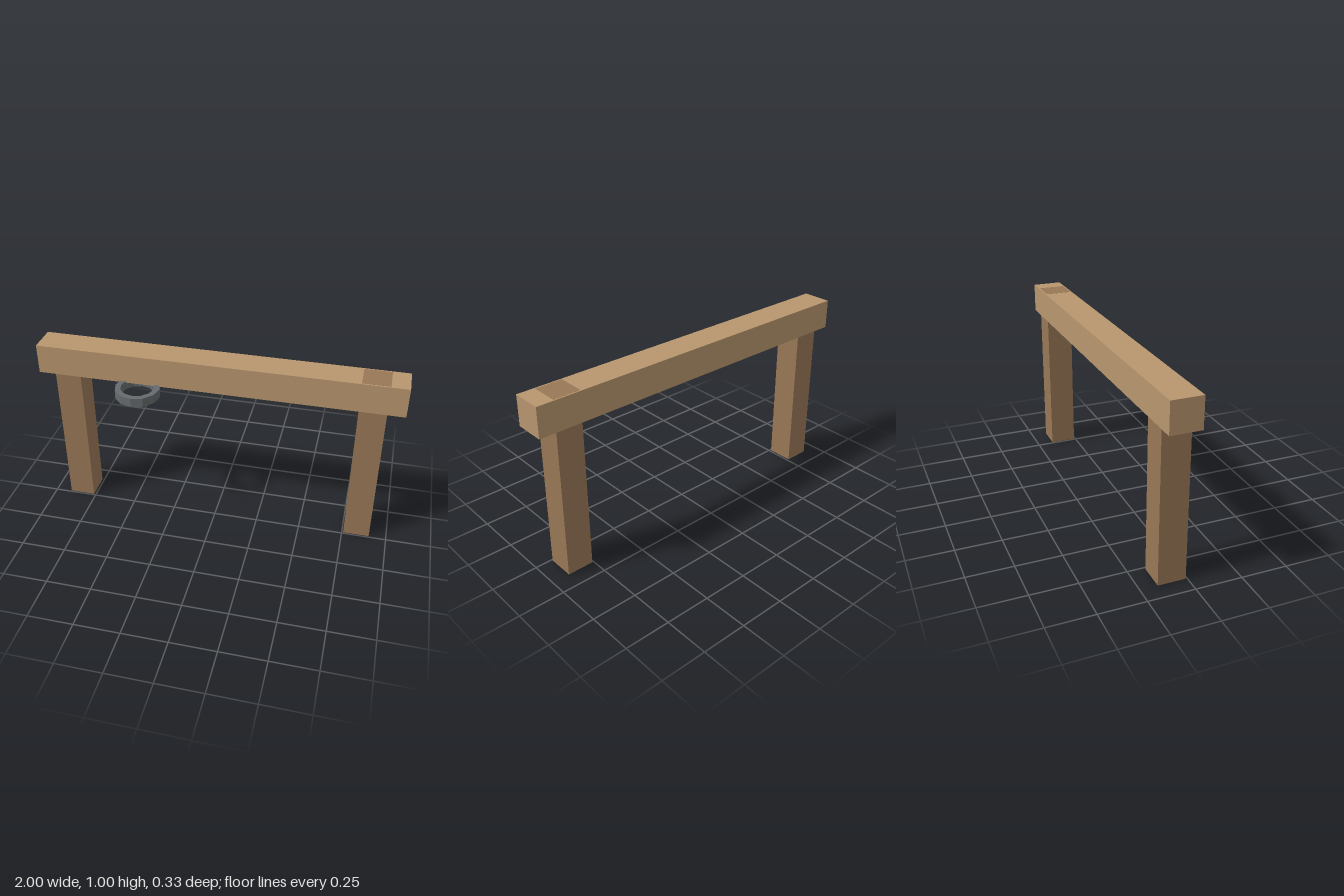
import * as THREE from 'three';

export function createModel() {
  const group = new THREE.Group();
  const material = (color) => new THREE.MeshStandardMaterial({ color, flatShading: true });
  const beamWood = material(0xb8966e);
  const postWood = material(0x987856);
  const iron = material(0x666b6e);

  // Box given by its lower and upper corners
  function box(name, mat, [x0, y0, z0], [x1, y1, z1]) {
    const mesh = new THREE.Mesh(new THREE.BoxGeometry(x1 - x0, y1 - y0, z1 - z0), mat);
    mesh.position.set((x0 + x1) / 2, (y0 + y1) / 2, (z0 + z1) / 2);
    mesh.name = name;
    group.add(mesh);
  }

  // Crossbeam on two posts; the left post comes through flush with the top
  box('crossbeam', beamWood, [-1, 0.835, -0.165], [1, 1, 0]);
  box('rightPost', postWood, [-0.908, 0, -0.157], [-0.762, 0.99, -0.008]);
  box('leftPost', postWood, [0.758, 0, -0.157], [0.904, 1.0005, -0.008]);

  // Twelve-sided tie ring lying flat under the front edge of the beam
  const outer = 0.123, inner = 0.092, half = 0.025;
  const section = [[outer, -half], [outer, half], [inner, half], [inner, -half], [outer, -half]];
  const ring = new THREE.Mesh(
    new THREE.LatheGeometry(section.map(([r, y]) => new THREE.Vector2(r, y)), 12),
    iron
  );
  ring.position.set(-0.418, 0.818, 0.042);
  ring.name = 'tieRing';
  group.add(ring);

  return group;
}
